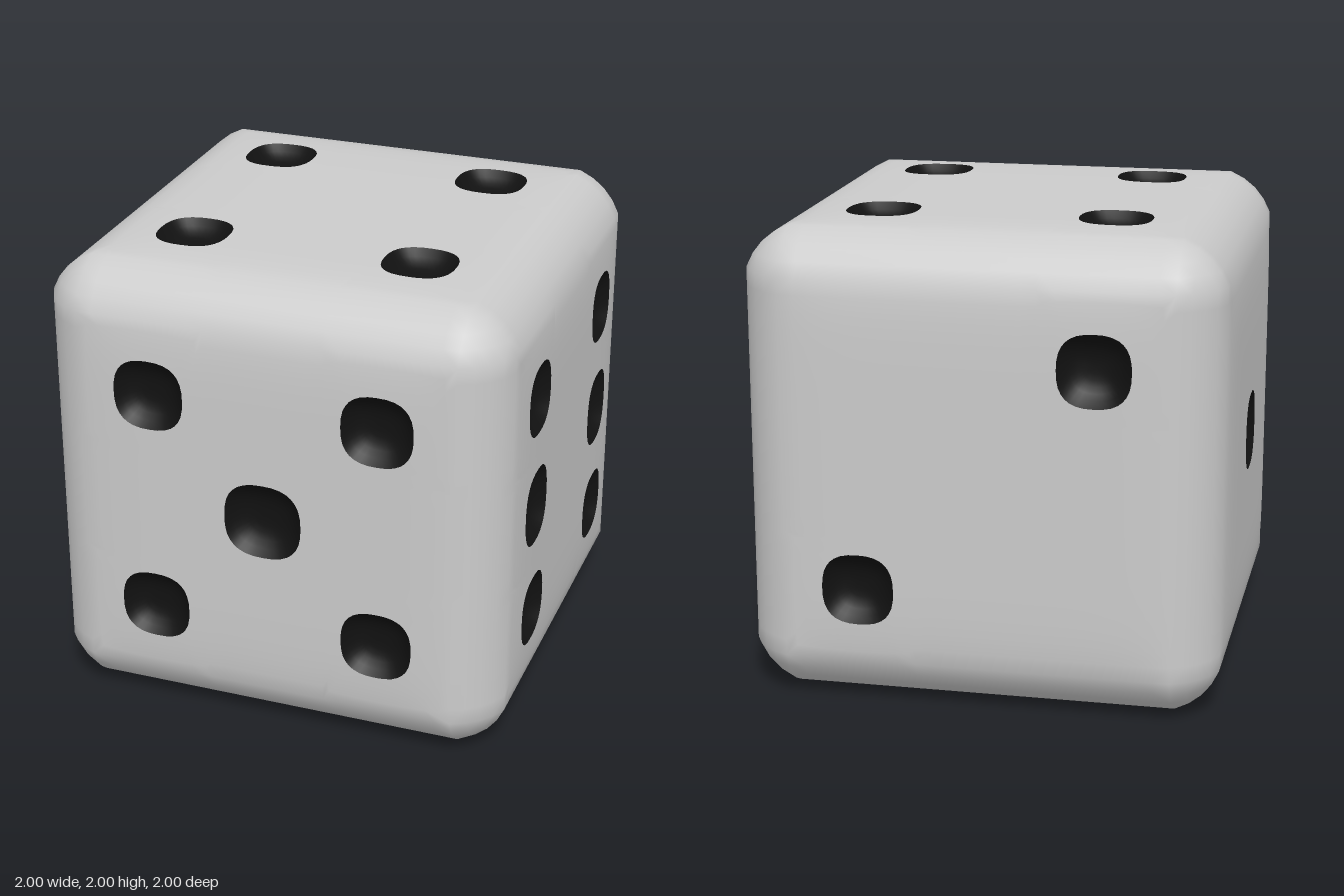
import * as THREE from 'three';
import { mergeVertices } from 'three/addons/utils/BufferGeometryUtils.js';

const FLAT = 0.8;      // half width of a face inside its bevels
const EDGE = 0.98;     // face height at its border (1 at the middle)
const BULGE = 0.02;    // outward swell of bevels and corners
const DEPTH = 0.07;    // depth of a pip
const N = 8;           // segments per cell side
const M = 4;           // segments across a bevel
const CUTS = [-FLAT, -0.25, 0.25, FLAT];

const V = (x, y, z) => new THREE.Vector3(x, y, z);
const lerp = THREE.MathUtils.lerp;

// Adds a patch of quads; fn(a, b) gives a point, a x b points outward
function patch(out, na, nb, fn) {
  for (let i = 0; i < na; i++) {
    for (let j = 0; j < nb; j++) {
      const p = fn(i / na, j / nb), q = fn((i + 1) / na, j / nb);
      const r = fn((i + 1) / na, (j + 1) / nb), s = fn(i / na, (j + 1) / nb);
      out.push(p, q, r, p, r, s);
    }
  }
}

function smoothMesh(points, material, name) {
  const raw = new THREE.BufferGeometry().setFromPoints(points);
  const geometry = mergeVertices(raw, 1e-4);
  geometry.computeVertexNormals();
  const mesh = new THREE.Mesh(geometry, material);
  mesh.name = name;
  return mesh;
}

// Faces: u runs right, v runs up as seen from outside; pips are [column, row]
const corners = [[-1, -1], [1, -1], [-1, 1], [1, 1]];
const FACES = [
  { name: 'front', u: V(1, 0, 0), v: V(0, 1, 0), pips: [...corners, [0, 0]] },
  { name: 'back', u: V(-1, 0, 0), v: V(0, 1, 0), pips: [[-1, -1], [1, 1]] },
  { name: 'left', u: V(0, 0, -1), v: V(0, 1, 0), pips: [...corners, [-1, 0], [1, 0]] },
  { name: 'right', u: V(0, 0, 1), v: V(0, 1, 0), pips: [[0, 0]] },
  { name: 'top', u: V(1, 0, 0), v: V(0, 0, -1), pips: corners },
  { name: 'bottom', u: V(1, 0, 0), v: V(0, 0, 1), pips: [[-1, -1], [0, 0], [1, 1]] },
];

// Slightly pillowed face height
const swell = (s) => 1 - Math.min(1, Math.abs(s / FLAT)) ** 8;
const height = (s, t) => EDGE + (1 - EDGE) * swell(s) * swell(t);

// Point on the border of the square [0,1]^2, counter-clockwise
function squarePoint(b) {
  const k = (b * 4) % 4, side = Math.floor(k + 1e-9), f = k - side;
  return [[f, 0], [1, f], [1 - f, 1], [0, 1 - f]][side];
}

// Rounded-square pip outline at scale r
function pipPoint(col, row, b, r) {
  const [x, y] = squarePoint(b);
  const angle = Math.atan2(y - 0.5, x - 0.5);
  const c = Math.cos(angle), s = Math.sin(angle);
  const k = r / (Math.abs(c) ** 2.6 + Math.abs(s) ** 2.6) ** (1 / 2.6);
  return [col * 0.485 + c * k * (col ? 0.15 : 0.165), row * 0.485 + s * k * (row ? 0.15 : 0.165)];
}

function addFace(body, group, face, black) {
  const n = face.u.clone().cross(face.v);
  const at = (s, t, sink = 0) => V(0, 0, 0).addScaledVector(face.u, s)
    .addScaledVector(face.v, t).addScaledVector(n, height(s, t) - sink);
  const pips = [];
  for (let col = -1; col <= 1; col++) {
    for (let row = -1; row <= 1; row++) {
      const cell = (a, b) => [lerp(CUTS[col + 1], CUTS[col + 2], a), lerp(CUTS[row + 1], CUTS[row + 2], b)];
      if (!face.pips.some(([c, r]) => c === col && r === row)) {
        patch(body, N, N, (a, b) => at(...cell(a, b)));
        continue;
      }
      // Face surface around the pip
      patch(body, 4, 4 * N, (a, b) => {
        const [s, t] = pipPoint(col, row, b, 1), [x, y] = cell(...squarePoint(b));
        return at(lerp(s, x, a), lerp(t, y, a));
      });
      // Sunken pip
      patch(pips, 6, 4 * N, (a, b) => at(...pipPoint(col, row, b, a), DEPTH * (1 - a ** 3)));
    }
  }
  group.add(smoothMesh(pips, black, face.name + 'Pips'));
}

// Bevels along the edges of one axis
function addBevels(body, axis) {
  for (const sa of [-1, 1]) {
    for (const sb of [-1, 1]) {
      for (let i = 0; i < 3; i++) {
        patch(body, M, N, (f, w) => {
          const t = sa * sb > 0 ? f : 1 - f, k = 4 * t * (1 - t) * BULGE;
          const p = V(0, 0, 0);
          p.setComponent((axis + 1) % 3, sa * (lerp(EDGE, FLAT, t) + k));
          p.setComponent((axis + 2) % 3, sb * (lerp(FLAT, EDGE, t) + k));
          p.setComponent(axis, lerp(CUTS[i], CUTS[i + 1], w));
          return p;
        });
      }
    }
  }
}

// Rounded triangle on one corner
function addCorner(body, sx, sy, sz) {
  const at = (i, j) => {
    const w = [1 - (i + j) / M, i / M, j / M];
    const c = w.map((a) => FLAT + (EDGE - FLAT) * a + 4 * BULGE * a * (1 - a));
    // swell shared by the two other sides keeps the middle round
    const extra = 4 * BULGE * w[0] * w[1] * w[2];
    return V(sx * (c[0] + extra), sy * (c[1] + extra), sz * (c[2] + extra));
  };
  const tri = (p, q, r) => (sx * sy * sz > 0 ? body.push(p, q, r) : body.push(p, r, q));
  for (let i = 0; i < M; i++) {
    for (let j = 0; i + j < M; j++) {
      tri(at(i, j), at(i + 1, j), at(i, j + 1));
      if (i + j < M - 1) tri(at(i + 1, j), at(i + 1, j + 1), at(i, j + 1));
    }
  }
}

export function createModel() {
  const grey = new THREE.MeshStandardMaterial({ color: 0xcccccc });
  const black = new THREE.MeshStandardMaterial({ color: 0x111111 });
  const die = new THREE.Group();
  die.name = 'die';

  const body = [];
  for (const face of FACES) addFace(body, die, face, black);
  for (let axis = 0; axis < 3; axis++) addBevels(body, axis);
  for (const x of [-1, 1]) for (const y of [-1, 1]) for (const z of [-1, 1]) addCorner(body, x, y, z);
  die.add(smoothMesh(body, grey, 'body'));

  die.position.y = 1;
  const model = new THREE.Group();
  model.name = 'model';
  model.add(die);
  return model;
}
